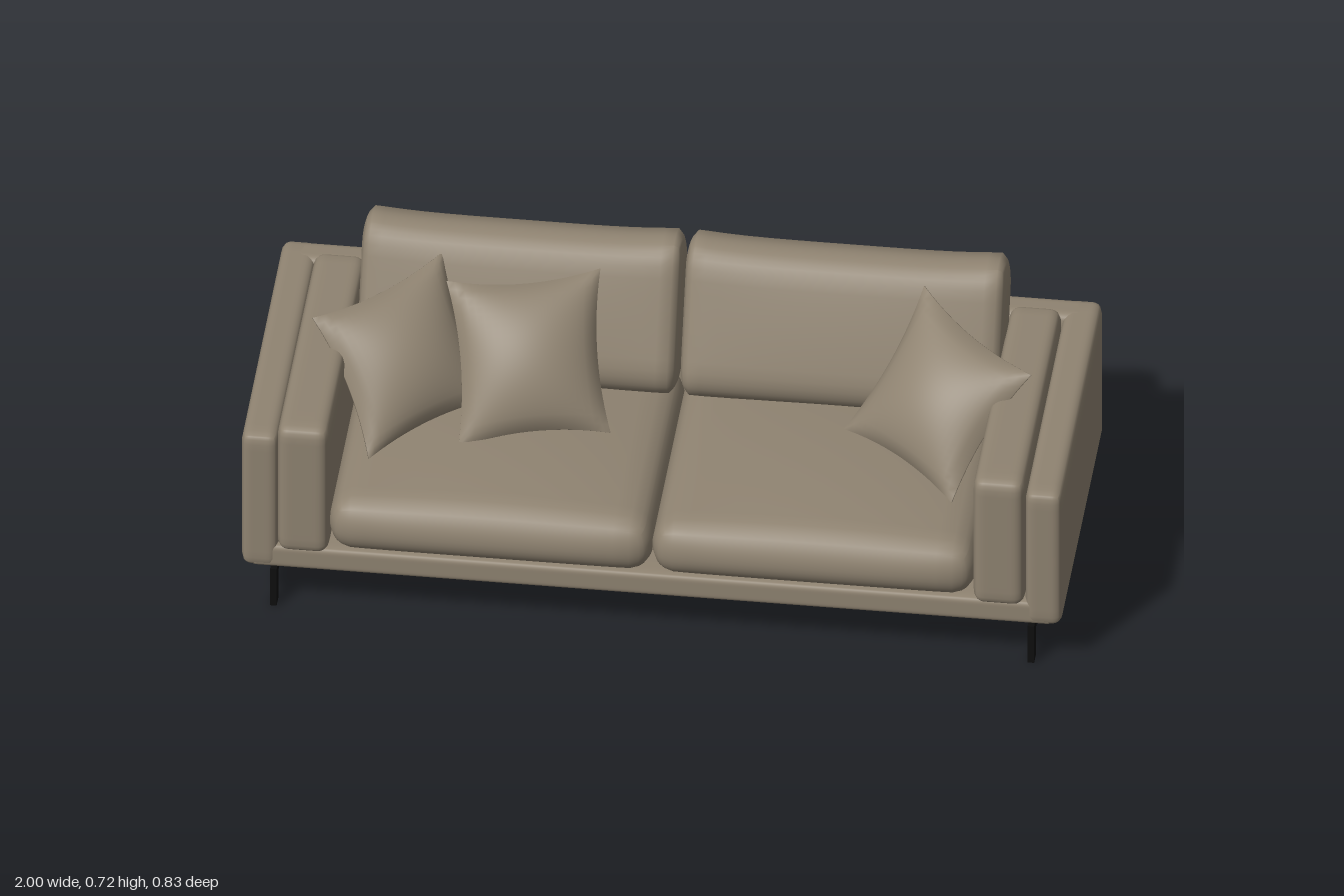
import * as THREE from 'three';
import { mergeVertices } from 'three/addons/utils/BufferGeometryUtils.js';

const fabric = new THREE.MeshStandardMaterial({ color: 0x8f8371 });
fabric.name = 'taupe fabric';
const metal = new THREE.MeshStandardMaterial({ color: 0x0e0e0e });
metal.name = 'black metal';

// Move every vertex of a box by a rule, then weld it so it shades smoothly
function reshape(geometry, rule) {
  geometry.deleteAttribute('uv');
  geometry.deleteAttribute('normal');
  const pos = geometry.attributes.position;
  const p = new THREE.Vector3();
  for (let i = 0; i < pos.count; i++) {
    rule(p.fromBufferAttribute(pos, i));
    pos.setXYZ(i, p.x, p.y, p.z);
  }
  const welded = mergeVertices(geometry, 1e-5);
  welded.computeVertexNormals();
  return welded;
}

// Upholstered block: rounded by radii r = [x, y, z], then bulged by an optional rule
function softBox(size, r, bulge) {
  const n = 18;
  return reshape(new THREE.BoxGeometry(2, 2, 2, n, n, n), (p) => {
    const s = p.toArray().map((t) => Math.sin((t * Math.PI) / 2));
    const inner = s.map((t, i) => {
      const limit = size[i] / 2 - r[i];
      return THREE.MathUtils.clamp((t * size[i]) / 2, -limit, limit);
    });
    const out = new THREE.Vector3(...s.map((t, i) => ((t * size[i]) / 2 - inner[i]) / r[i])).normalize().toArray();
    p.set(...inner.map((c, i) => c + out[i] * r[i]));
    if (bulge) bulge(p, (2 * p.x) / size[0], (2 * p.y) / size[1], (2 * p.z) / size[2]);
  });
}

// Throw pillow stretched between four corners, with pinched edges and a puffed middle
function pillowGeometry(topLeft, topRight, bottomLeft, bottomRight, puff) {
  const [tl, tr, bl, br] = [topLeft, topRight, bottomLeft, bottomRight].map((c) => new THREE.Vector3(...c));
  const normal = tr.clone().sub(tl).cross(tl.clone().sub(bl)).normalize();
  const low = new THREE.Vector3();
  return reshape(new THREE.BoxGeometry(2, 2, 2, 20, 20, 1), (p) => {
    const { x: u, y: v, z: side } = p;
    const a = (u * (1 - 0.11 * (1 - v * v)) + 1) / 2;
    const b = (v * (1 - 0.11 * (1 - u * u)) + 1) / 2;
    const fill = Math.pow(Math.max(0, (1 - u * u) * (1 - v * v)), 0.65);
    low.lerpVectors(bl, br, a);
    p.lerpVectors(tl, tr, a).lerp(low, 1 - b);
    p.addScaledVector(normal, side * (0.002 + puff * fill));
  });
}

export function createModel() {
  const sofa = new THREE.Group();
  sofa.name = 'sofa';
  const add = (name, geometry, material, x = 0, y = 0, z = 0) => {
    const mesh = new THREE.Mesh(geometry, material);
    mesh.name = name;
    mesh.position.set(x, y, z);
    sofa.add(mesh);
    return mesh;
  };

  // Frame
  add('base', softBox([1.96, 0.067, 0.78], [0.015, 0.015, 0.015]), fabric, 0, 0.1585, -0.005);
  add('backFrame', softBox([1.99, 0.4, 0.085], [0.025, 0.025, 0.025]), fabric, 0, 0.326, -0.3715);

  for (const [side, s] of [['left', 1], ['right', -1]]) {
    // Arm shell and the padded panel inside it
    add(side + 'ArmShell', softBox([0.09, 0.4, 0.802], [0.025, 0.025, 0.022],
      (p, u, v, w) => { if (v > 0) p.y -= 0.004 * (1 + w); }), fabric, s * 0.954, 0.326, -0.013);
    add(side + 'ArmPad', softBox([0.125, 0.37, 0.74], [0.028, 0.028, 0.028]), fabric, s * 0.847, 0.373, 0.037);

    // Seat cushion with a crowned top and full front
    add(side + 'SeatCushion', softBox([0.788, 0.145, 0.7], [0.06, 0.07, 0.05], (p, u, v, w) => {
      const crown = (1 - u * u) * (1 - 0.7 * w * w);
      if (v > 0) p.y += 0.03 * crown * v;
      if (w > 0) p.z += 0.014 * (1 - u ** 4) * w * (1 - v * v);
    }), fabric, s * 0.393, 0.2635, 0.052);

    // Leaning back cushion, its upper corners slightly raised
    const back = add(side + 'BackCushion', softBox([0.786, 0.395, 0.175], [0.028, 0.08, 0.078], (p, u, v, w) => {
      p.z += 0.012 * w * (1 - u * u) * (1 - v * v);
      if (v > 0) p.y += 0.012 * u ** 4 * v;
    }), fabric, s * 0.394, 0.517, -0.241);
    back.rotation.x = -0.4;

    // Metal sled leg: feet, rail and spacers
    const leg = new THREE.Group();
    leg.name = side + 'Leg';
    leg.position.x = s * 0.922;
    const bar = (name, h, d, y, z) => {
      const mesh = new THREE.Mesh(new THREE.BoxGeometry(0.016, h, d), metal);
      mesh.name = name;
      mesh.position.set(0, y, z);
      leg.add(mesh);
    };
    bar('rail', 0.028, 0.75, 0.095, -0.007);
    bar('frontFoot', 0.109, 0.038, 0.0545, 0.349);
    bar('backFoot', 0.109, 0.038, 0.0545, -0.363);
    bar('frontSpacer', 0.024, 0.034, 0.118, 0.238);
    bar('backSpacer', 0.024, 0.034, 0.118, -0.252);
    sofa.add(leg);
  }

  // Throw pillows
  add('rightCornerPillow', pillowGeometry(
    [-0.87, 0.62, 0.03], [-0.585, 0.668, -0.21], [-0.71, 0.345, 0.212], [-0.43, 0.38, -0.025], 0.075), fabric);
  add('rightFrontPillow', pillowGeometry(
    [-0.56, 0.665, -0.1], [-0.195, 0.68, -0.178], [-0.5, 0.35, 0.145], [-0.14, 0.365, 0.06], 0.075), fabric);
  add('leftCornerPillow', pillowGeometry(
    [0.59, 0.68, -0.205], [0.88, 0.612, 0.03], [0.418, 0.37, -0.02], [0.71, 0.35, 0.217], 0.075), fabric);

  return sofa;
}
